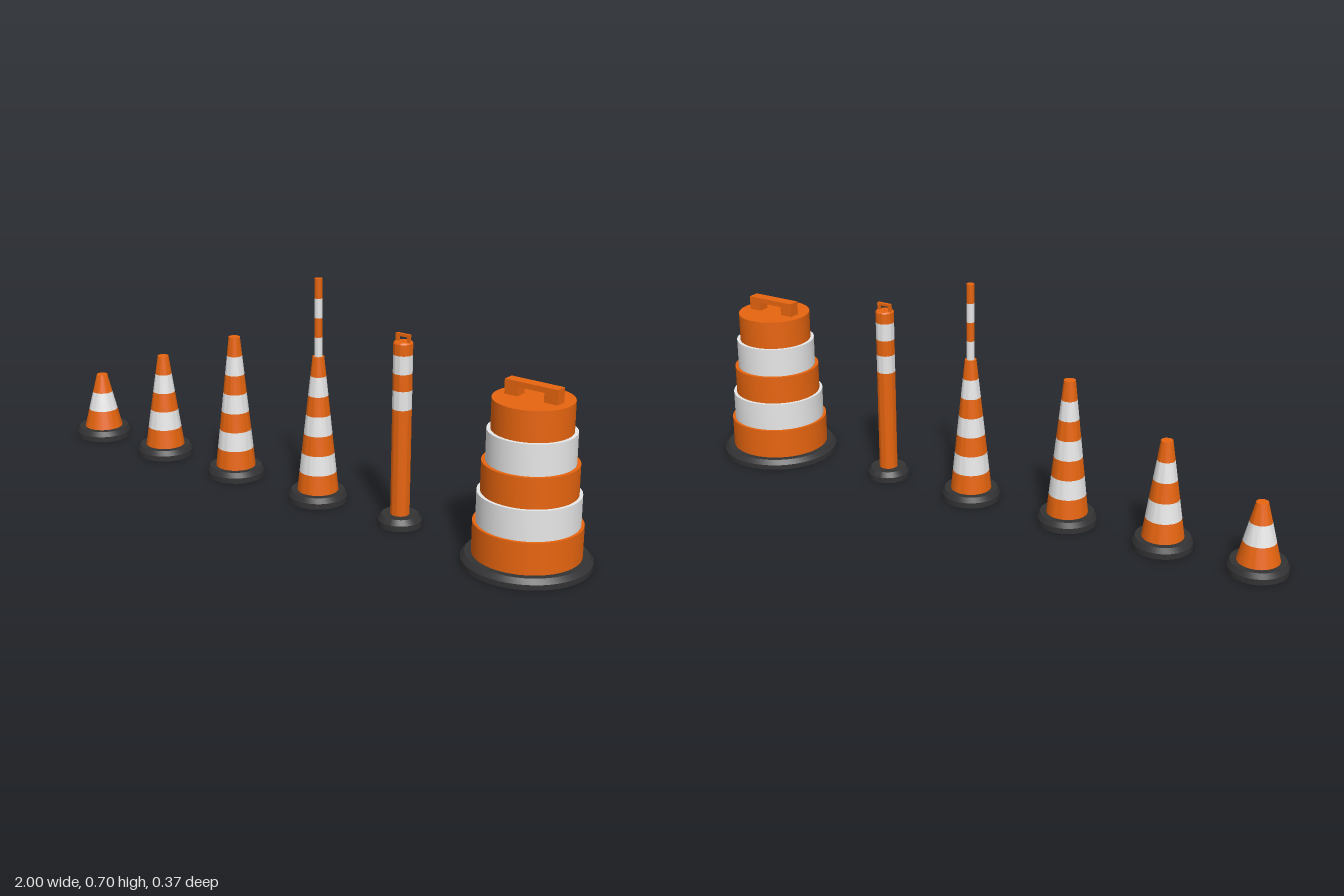
import * as THREE from 'three';
import { toCreasedNormals } from 'three/addons/utils/BufferGeometryUtils.js';

function material(name, color) {
  const m = new THREE.MeshStandardMaterial({ color });
  m.name = name;
  return m;
}

export function createModel() {
  const orange = material('orange', 0xe8650f);
  const white = material('white', 0xe8e8e8);
  const rubber = material('rubber', 0x333335);
  const SEG = 48;

  function add(parent, name, geometry, mat, x = 0, y = 0, z = 0) {
    const mesh = new THREE.Mesh(geometry, mat);
    mesh.name = name;
    mesh.position.set(x, y, z);
    parent.add(mesh);
    return mesh;
  }

  // Turned surface with sharp profile corners; profile rising = facing outward
  function turned(parent, name, profile, mat) {
    const points = profile.map(([r, y]) => new THREE.Vector2(r, y));
    const lathe = new THREE.LatheGeometry(points, SEG);
    return add(parent, name, toCreasedNormals(lathe, 0.4), mat);
  }

  // Ring-shaped rubber foot with a bevelled upper edge
  function foot(parent, hole, r, h, bevel) {
    turned(parent, 'rubberBase', [
      [hole, h], [hole, 0], [r, 0], [r, h * 0.52], [r - bevel, h], [hole, h],
    ], rubber);
  }

  // Carrying handle: two legs and a grip
  function handle(parent, y, width, height, depth, leg, grip) {
    const g = new THREE.Group();
    g.name = 'handle';
    for (const s of [-1, 1]) {
      add(g, 'handleLeg', new THREE.BoxGeometry(leg, height - grip, depth), orange,
        s * (width - leg) / 2, y + (height - grip) / 2);
    }
    add(g, 'handleGrip', new THREE.BoxGeometry(width, grip, depth), orange, 0, y + height - grip / 2);
    parent.add(g);
  }

  function unit(name, x) {
    const g = new THREE.Group();
    g.name = name;
    g.position.x = x;
    model.add(g);
    return g;
  }

  const model = new THREE.Group();
  model.name = 'trafficMarkers';

  // Striped cones with alternating orange and white bands
  const BAND = 0.0613, LOW = 0.034, R0 = 0.064, R1 = 0.018;
  function cone(name, x, bands) {
    const g = unit(name, x);
    const radius = (i) => R0 + (R1 - R0) * i / bands;
    foot(g, 0.058, 0.091, LOW, 0.008);
    for (let i = 0; i < bands; i++) {
      const y = LOW + i * BAND;
      const profile = [[radius(i), y], [radius(i + 1), y + BAND]];
      if (i === bands - 1) profile.push([0, y + BAND]);
      turned(g, i % 2 ? 'whiteBand' : 'orangeBand', profile, i % 2 ? white : orange);
    }
    const top = LOW + bands * BAND;
    turned(g, 'innerWall', [[0, top - 0.004], [R1 - 0.003, top - 0.004], [R0 - 0.003, 0.02]], orange);
    return g;
  }
  cone('smallCone', -0.909, 3);
  cone('mediumCone', -0.609, 5);
  cone('largeCone', -0.289, 7);

  // Tall cone carrying a thin banded tube
  const tall = cone('extendedCone', 0.054, 7);
  const coneTop = LOW + 7 * BAND, tubeBand = (0.705 - coneTop) / 4;
  for (let i = 0; i < 4; i++) {
    const y = coneTop + i * tubeBand;
    const profile = [[0.012, y], [0.012, y + tubeBand]];
    if (i === 3) profile.push([0, y + tubeBand]);
    turned(tall, i % 2 ? 'orangeTubeBand' : 'whiteTubeBand', profile, i % 2 ? orange : white);
  }

  // Slim post with two white collars
  const post = unit('slimPost', 0.369);
  foot(post, 0.026, 0.066, LOW, 0.01);
  const cuts = [LOW, 0.364, 0.422, 0.473, 0.529, 0.567];
  for (let i = 0; i < 5; i++) {
    const profile = i < 4
      ? [[0.029, cuts[i]], [0.029, cuts[i + 1]]]
      : [[0.029, cuts[i]], [0.029, 0.563], [0.026, 0.567], [0, 0.567]];
    turned(post, i % 2 ? 'whiteBand' : 'orangeBand', profile, i % 2 ? white : orange);
  }
  turned(post, 'innerWall', [[0, 0.56], [0.027, 0.56], [0.027, 0.02]], orange);
  handle(post, 0.567, 0.048, 0.023, 0.01, 0.008, 0.008);

  // Stepped drum
  const drum = unit('drum', 0.81);
  foot(drum, 0.143, 0.187, 0.03, 0.012);
  const levels = [0.03, 0.125, 0.215, 0.305, 0.397, 0.487];
  const radii = [0.156, 0.147, 0.137, 0.126, 0.115];
  const inside = [[0, 0.483]];
  radii.forEach((r, i) => {
    const next = i < 4 ? radii[i + 1] - 0.002 : 0;
    turned(drum, i % 2 ? 'whiteBand' : 'orangeBand',
      [[r, levels[i]], [r, levels[i + 1]], [next, levels[i + 1]]], i % 2 ? white : orange);
  });
  for (let i = 4; i >= 0; i--) {
    inside.push([radii[i] - 0.004, levels[i + 1] - 0.004], [radii[i] - 0.004, levels[i] - 0.004]);
  }
  turned(drum, 'innerWall', inside, orange);
  handle(drum, 0.487, 0.168, 0.043, 0.036, 0.042, 0.016);

  return model;
}
